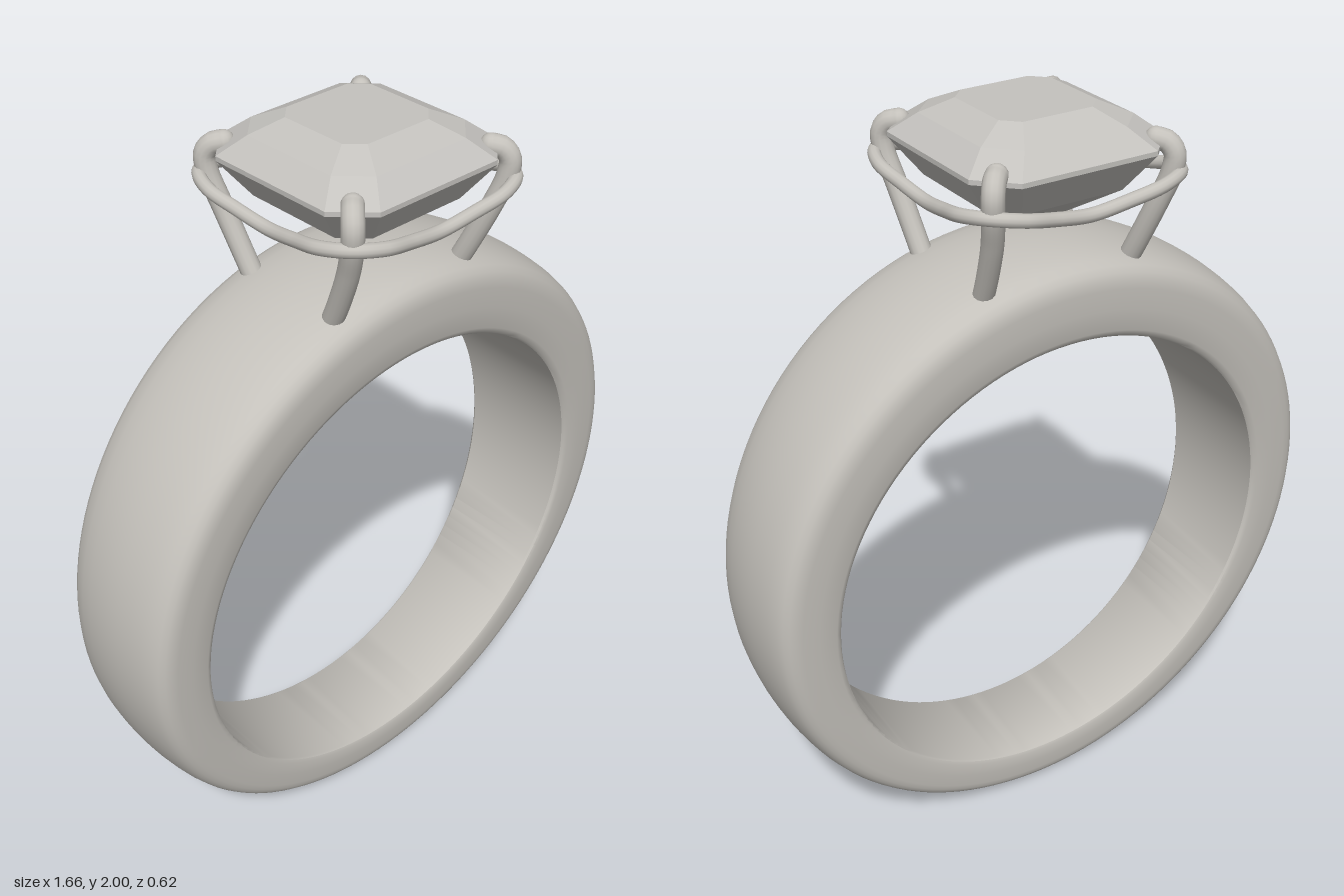
import * as THREE from 'three';
import { toCreasedNormals } from 'three/addons/utils/BufferGeometryUtils.js';

// Skin between cross-sections; columns are points, each row one section.
function loft(rows, closeRows, closeCols) {
  const n = rows[0].length, m = rows.length, index = [];
  for (let i = 0; i < (closeRows ? m : m - 1); i++) {
    for (let j = 0; j < (closeCols ? n : n - 1); j++) {
      const a = i * n + j, b = i * n + (j + 1) % n;
      const c = ((i + 1) % m) * n + j, d = ((i + 1) % m) * n + (j + 1) % n;
      index.push(a, b, c, b, d, c);
    }
  }
  const g = new THREE.BufferGeometry();
  g.setAttribute('position', new THREE.Float32BufferAttribute(rows.flat(2), 3));
  g.setIndex(index);
  return g;
}

// Band: two offset circles, growing wider and thicker toward the top
function bandGeometry() {
  // [share of half width, share of thickness]
  const half = [[0.94, 0], [0.975, 0.025], [1, 0.09], [1, 0.35], [1, 0.6], [0.985, 0.7], [0.95, 0.78],
    [0.89, 0.845], [0.8, 0.895], [0.62, 0.945], [0.42, 0.975], [0.2, 0.995]];
  const profile = [...half, [0, 1], ...half.map(([w, t]) => [-w, t]).reverse()];
  const rows = [], steps = 128;
  for (let i = 0; i < steps; i++) {
    const a = i / steps * Math.PI * 2;
    rows.push(profile.map(([w, t]) => {
      const r = THREE.MathUtils.lerp(0.653, 0.83, t);
      const y = THREE.MathUtils.lerp(0.788, 0.83, t) + r * Math.sin(a);
      return [r * Math.cos(a), y, w * (0.145 + 0.044 * y)];
    }));
  }
  return toCreasedNormals(loft(rows, true, true), 0.6);
}

// Square step-cut stone with clipped corners
function gemGeometry() {
  // [half side, corner cut, height]
  const levels = [[0, 0, 2], [0.135, 0.04, 2], [0.21, 0.07, 1.965], [0.27, 0.085, 1.917],
    [0.27, 0.085, 1.905], [0.2, 0.06, 1.81], [0, 0, 1.68]];
  const octagon = ([h, c, y]) => {
    const k = h - c;
    return [[h, y, k], [h, y, -k], [k, y, -h], [-k, y, -h], [-h, y, -k], [-h, y, k], [-k, y, h], [k, y, h]];
  };
  const rings = levels.map(octagon);
  // one section per corner, running from table to point
  const rows = rings[0].map((_, i) => rings.map((ring) => ring[i]));
  const g = loft(rows, true, false).toNonIndexed();
  g.computeVertexNormals();
  return g;
}

export function createModel() {
  const metal = new THREE.MeshStandardMaterial({ color: 0xc4c1bb });
  metal.name = 'polished metal';
  const stone = new THREE.MeshStandardMaterial({ color: 0xc4c2be });
  stone.name = 'clear stone';

  const model = new THREE.Group();
  model.name = 'ring';
  const add = (parent, geometry, material, name) => {
    const mesh = new THREE.Mesh(geometry, material);
    mesh.name = name;
    parent.add(mesh);
    return mesh;
  };

  add(model, bandGeometry(), metal, 'band');
  add(model, gemGeometry(), stone, 'gemstone');

  // Four prongs leaning outward and hooking over the stone's corners
  const prongPath = [[0.208, 1.58, 0.13], [0.218, 1.67, 0.175], [0.232, 1.77, 0.22], [0.247, 1.85, 0.248],
    [0.249, 1.895, 0.252], [0.237, 1.92, 0.238], [0.218, 1.927, 0.218]];
  for (const sx of [1, -1]) {
    for (const sz of [1, -1]) {
      const prong = new THREE.Group();
      prong.name = 'prong';
      const points = prongPath.map(([x, y, z]) => new THREE.Vector3(x * sx, y, z * sz));
      add(prong, new THREE.TubeGeometry(new THREE.CatmullRomCurve3(points), 32, 0.027, 14), metal, 'prongWire');
      add(prong, new THREE.SphereGeometry(0.027, 14, 10), metal, 'prongTip').position.copy(points.at(-1));
      model.add(prong);
    }
  }

  // Wavy gallery rail that dips in the middle of each side
  const side = [[-0.19, 1.84, 0.292], [-0.1, 1.82, 0.283], [0, 1.805, 0.274], [0.1, 1.82, 0.283],
    [0.19, 1.84, 0.292], [0.262, 1.85, 0.262]];
  const railPoints = [];
  for (let q = 0; q < 4; q++) {
    for (const p of side) {
      railPoints.push(new THREE.Vector3(...p).applyAxisAngle(new THREE.Vector3(0, 1, 0), q * Math.PI / 2));
    }
  }
  const rail = new THREE.CatmullRomCurve3(railPoints, true);
  add(model, new THREE.TubeGeometry(rail, 160, 0.017, 12, true), metal, 'galleryRail');

  return model;
}
